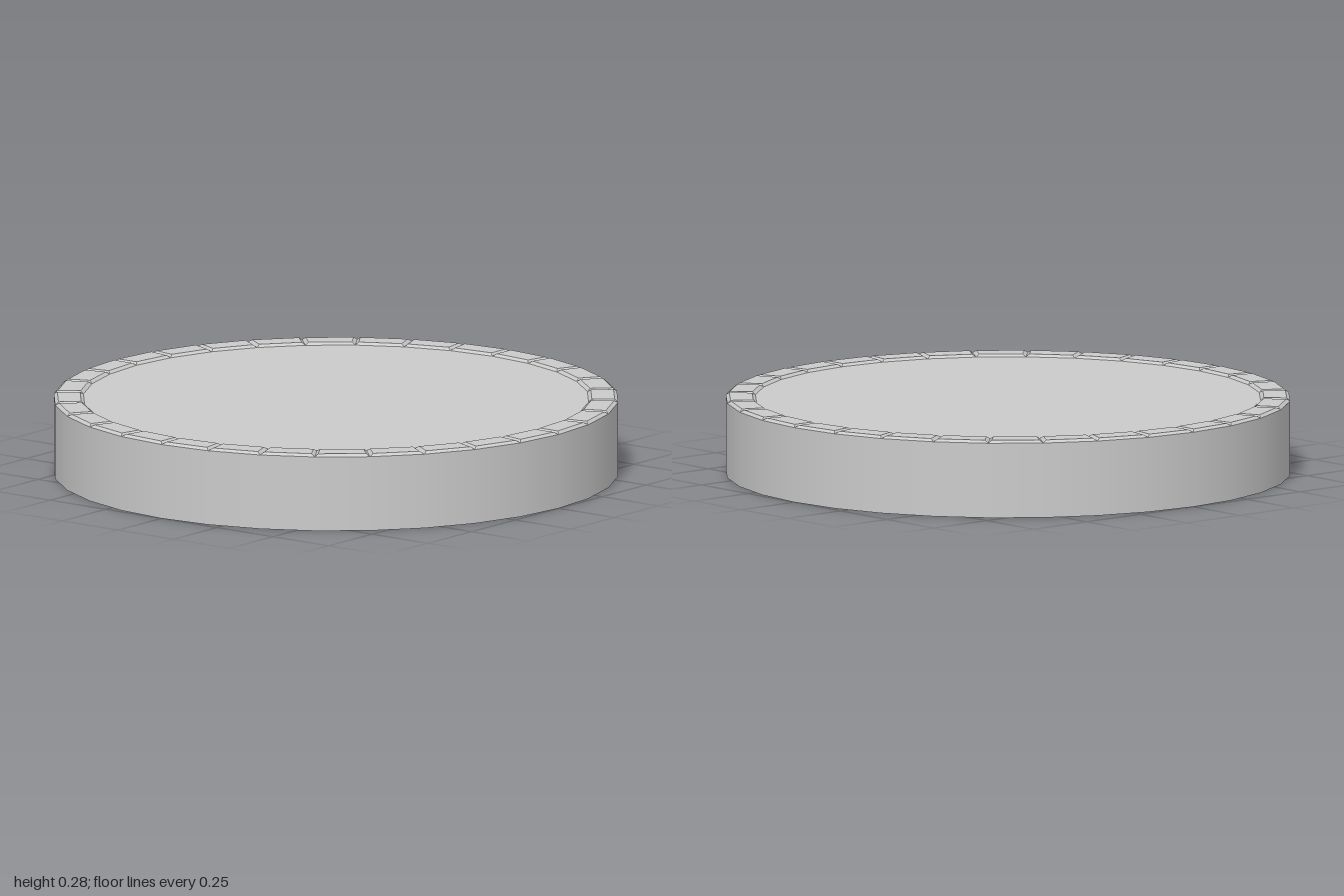
import * as THREE from 'three';

const SIDES = 32;
const OUTER = 1, INNER = 0.895;
const BASE_Y = 0.267, TOP_Y = 0.276, BEVEL = 0.012;

// One raised tile of the rim: a bevelled, hollow wedge pointing along +x.
function tileGeometry() {
  const half = Math.PI / SIDES;
  const ring = (uIn, uOut, side, y) => {
    const wIn = uIn * Math.tan(half) - side, wOut = uOut * Math.tan(half) - side;
    return [[uOut, y, -wOut], [uIn, y, -wIn], [uIn, y, wIn], [uOut, y, wOut]];
  };
  const uIn = INNER * Math.cos(half), uOut = OUTER * Math.cos(half);
  const low = ring(uIn, uOut, 0, BASE_Y);
  const high = ring(uIn + BEVEL, uOut - BEVEL, BEVEL / Math.cos(half), TOP_Y);

  const points = [];
  const quad = (a, b, c, d) => points.push(...a, ...b, ...c, ...a, ...c, ...d);
  quad(...high);
  for (let i = 0; i < 4; i++) {
    const j = (i + 1) % 4;
    quad(low[i], low[j], high[j], high[i]);
  }
  const geometry = new THREE.BufferGeometry();
  geometry.setAttribute('position', new THREE.Float32BufferAttribute(points, 3));
  geometry.computeVertexNormals();
  return geometry;
}

export function createModel() {
  const model = new THREE.Group();
  model.name = 'roundBase';
  const material = new THREE.MeshStandardMaterial({ color: 0xcccccc, side: THREE.DoubleSide });

  // Smooth outer wall, open at the bottom
  const wall = new THREE.Mesh(
    new THREE.CylinderGeometry(OUTER, OUTER, BASE_Y, SIDES, 1, true).translate(0, BASE_Y / 2, 0),
    material
  );
  wall.name = 'wall';
  model.add(wall);

  // Flat top inside the rim
  const plate = new THREE.Mesh(
    new THREE.CircleGeometry(INNER, SIDES).rotateX(-Math.PI / 2).translate(0, BASE_Y, 0),
    material
  );
  plate.name = 'topPlate';
  model.add(plate);

  // Ring of bevelled tiles, one per side
  const rim = new THREE.Group();
  rim.name = 'tiledRim';
  const geometry = tileGeometry();
  for (let i = 0; i < SIDES; i++) {
    const tile = new THREE.Mesh(geometry, material);
    tile.name = 'rimTile';
    tile.rotation.y = ((i + 0.5) / SIDES) * Math.PI * 2;
    rim.add(tile);
  }
  model.add(rim);

  return model;
}
